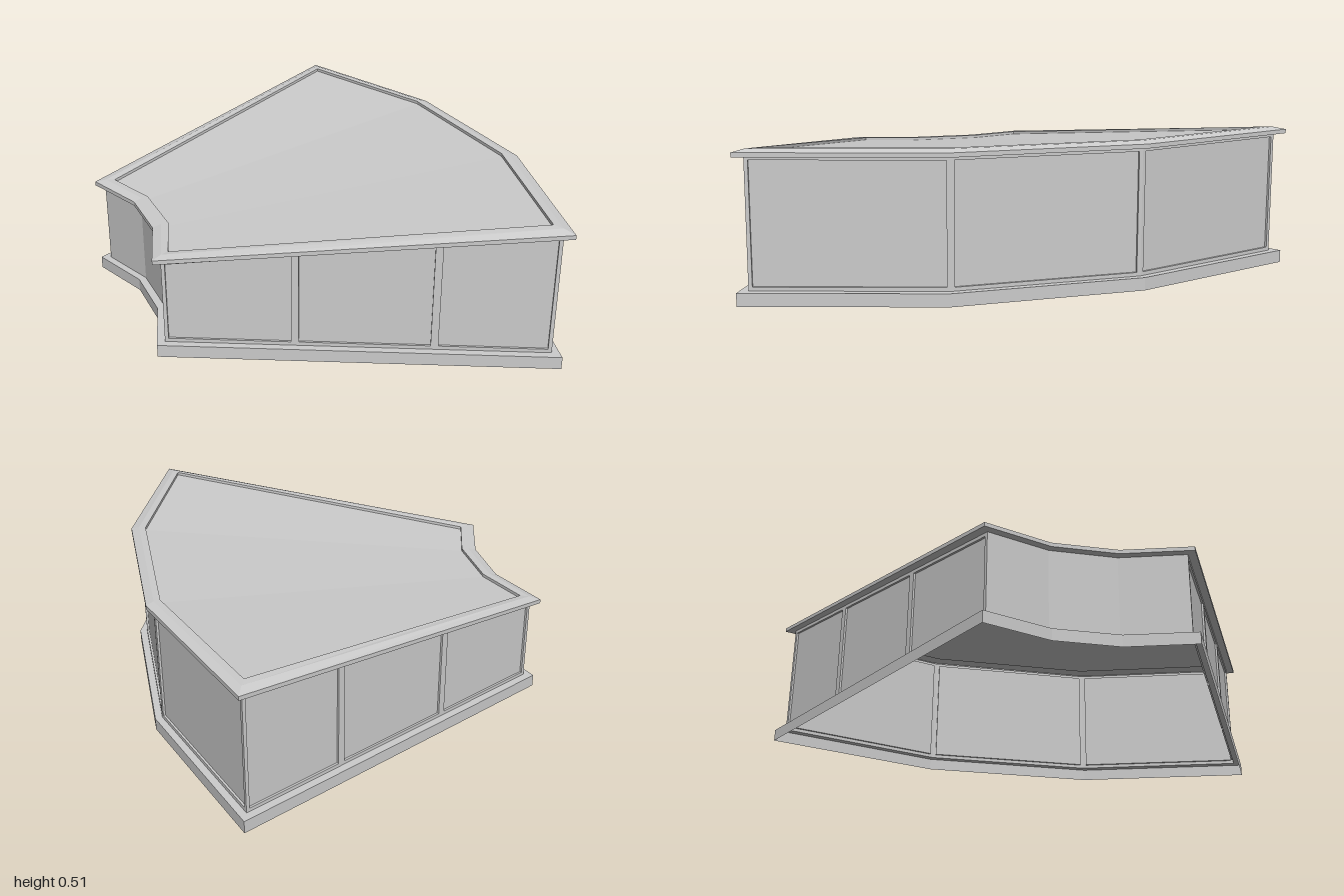
import * as THREE from 'three';

// Plan outline [x, z]: rim edge, and the inset edge of the top panel
const OUTER = [[-0.74, -0.30], [-0.645, -0.06], [-0.635, 0.18], [-0.70, 0.43],
  [0.555, 0.995], [0.735, 0.33], [0.70, -0.355], [0.45, -1.0]];
const INNER = [[-0.67, -0.272], [-0.59, -0.07], [-0.577, 0.18], [-0.635, 0.398],
  [0.52, 0.915], [0.68, 0.31], [0.65, -0.34], [0.425, -0.915]];
const N = OUTER.length;
const DROP = 0.132;          // the short curved end is lower than the long one
const PLINTH = 0.045, WALL_TOP = 0.487, FRAME = 0.013, RECESS = 0.008;

const material = new THREE.MeshStandardMaterial({
  color: 0xcccccc, flatShading: true, side: THREE.DoubleSide });

// Outline ring, t = 0 (rim) to 1 (panel edge); sloped rings follow the top
function ring(t, y, sloped = true) {
  return OUTER.map(([x, z], i) => new THREE.Vector3(
    x + (INNER[i][0] - x) * t,
    y - (sloped && i < 4 ? DROP : 0),
    z + (INNER[i][1] - z) * t));
}

function quadMesh(name, quads) {
  const pts = quads.flatMap(([a, b, c, d]) => [a, b, c, a, c, d]);
  const geometry = new THREE.BufferGeometry().setFromPoints(pts);
  geometry.computeVertexNormals();
  const mesh = new THREE.Mesh(geometry, material);
  mesh.name = name;
  return mesh;
}

// Skin a stack of rings
function loft(name, rings) {
  const quads = [];
  for (let r = 0; r < rings.length - 1; r++) {
    for (let i = 0; i < N; i++) {
      const j = (i + 1) % N;
      quads.push([rings[r][i], rings[r][j], rings[r + 1][j], rings[r + 1][i]]);
    }
  }
  return quadMesh(name, quads);
}

// One wall between two corners, with a recessed panel between each pair of cuts
function wall(name, a, b, cuts) {
  const dir = new THREE.Vector3(b.x - a.x, 0, b.z - a.z);
  const margin = FRAME / dir.length();
  const inward = new THREE.Vector3(dir.z, 0, -dir.x).normalize();
  const point = (u, row, depth = 0) => {
    const top = a.y + (b.y - a.y) * u;
    const p = new THREE.Vector3().lerpVectors(a, b, u).addScaledVector(inward, depth);
    p.y = [PLINTH, PLINTH + FRAME, top - FRAME, top][row];
    return p;
  };
  const cell = (u0, u1, r0, r1, d = 0) =>
    [point(u0, r0, d), point(u1, r0, d), point(u1, r1, d), point(u0, r1, d)];
  if (!cuts) return quadMesh(name, [cell(0, 1, 0, 3)]);

  const quads = [];
  for (let k = 0; k < cuts.length - 1; k++) {
    const s = cuts[k], e = cuts[k + 1];
    const u0 = s + margin, u1 = e - margin;
    // frame
    quads.push(cell(s, e, 0, 1), cell(s, e, 2, 3), cell(s, u0, 1, 2), cell(u1, e, 1, 2));
    // sunken field and its four reveals
    const front = cell(u0, u1, 1, 2), back = cell(u0, u1, 1, 2, RECESS);
    quads.push(back);
    for (let i = 0; i < 4; i++) {
      const j = (i + 1) % 4;
      quads.push([front[i], front[j], back[j], back[i]]);
    }
  }
  return quadMesh(name, quads);
}

export function createModel() {
  const group = new THREE.Group();
  group.name = 'curvedCounter';

  // Plinth skirt with its ledge, open underneath
  group.add(loft('plinth', [ring(0, 0, false), ring(0, PLINTH, false), ring(0.5, PLINTH, false)]));

  // Walls: plain cove, three panels on each straight side, one per outer facet
  const corners = ring(0.5, WALL_TOP);
  const cuts = [null, null, null, [0, 0.34, 0.7, 1], [0, 1], [0, 1], [0, 1], [0, 0.3, 0.66, 1]];
  const names = ['coveWall', 'coveWall', 'coveWall', 'frontWall',
    'outerWall', 'outerWall', 'outerWall', 'backWall'];
  cuts.forEach((c, i) => group.add(wall(names[i], corners[i], corners[(i + 1) % N], c)));

  // Overhanging rim with a shallow bevel and a step down to the top panel
  const panel = ring(1, 0.5);
  group.add(loft('topRim', [corners, ring(0, WALL_TOP), ring(0, 0.502),
    ring(0.55, 0.511), ring(1, 0.511), panel]));

  // Sloping top, in strips from the cove to the outer curve
  group.add(quadMesh('topPanel', [0, 1, 2].map(i =>
    [panel[i], panel[i + 1], panel[6 - i], panel[7 - i]])));

  return group;
}
